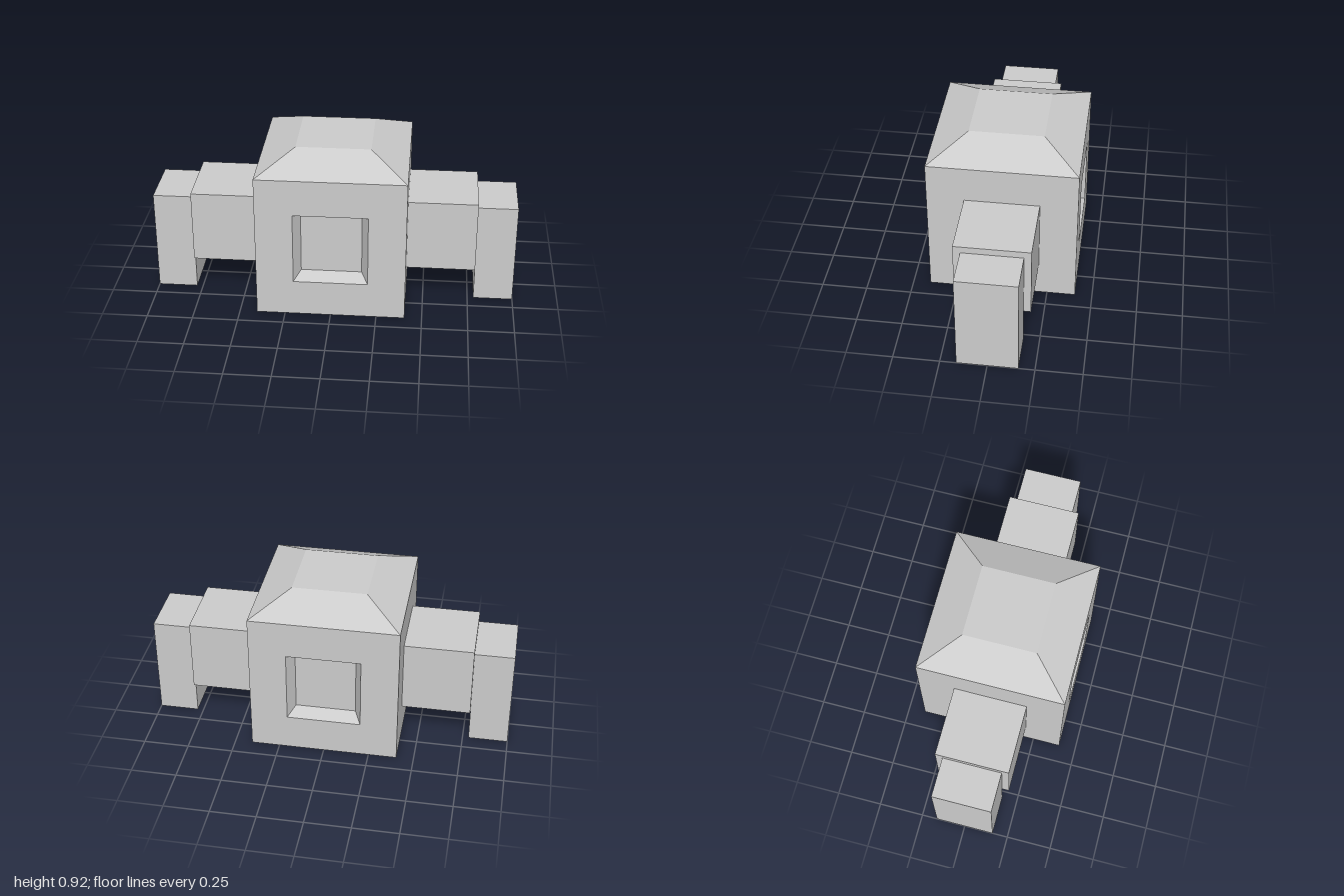
import * as THREE from 'three';

const material = new THREE.MeshStandardMaterial({ color: 0xcccccc, flatShading: true });

function addPart(parent, name, geometry, x = 0, y = 0, z = 0) {
  const mesh = new THREE.Mesh(geometry, material);
  mesh.name = name;
  mesh.position.set(x, y, z);
  parent.add(mesh);
  return mesh;
}

// Capped loft through rectangles [halfWidth, yMin, yMax, z], ordered from back to front
function loftRectangles(rings) {
  const corners = rings.map(([w, y0, y1, z]) => [[-w, y0, z], [w, y0, z], [w, y1, z], [-w, y1, z]]);
  const positions = [];
  const quad = (a, b, c, d) => positions.push(...a, ...b, ...c, ...a, ...c, ...d);
  const first = corners[0];
  const last = corners[corners.length - 1];
  quad(first[3], first[2], first[1], first[0]);
  for (let i = 0; i < corners.length - 1; i++) {
    for (let j = 0; j < 4; j++) {
      const k = (j + 1) % 4;
      quad(corners[i][j], corners[i][k], corners[i + 1][k], corners[i + 1][j]);
    }
  }
  quad(...last);
  const geometry = new THREE.BufferGeometry();
  geometry.setAttribute('position', new THREE.Float32BufferAttribute(positions, 3));
  geometry.computeVertexNormals();
  return geometry;
}

export function createModel() {
  const model = new THREE.Group();
  model.name = 'blockFigure';

  const half = 0.405;       // body half width and depth
  const bodyHeight = 0.812;
  const roofTop = 0.915;
  const armEnd = 0.783;
  const recessDepth = 0.07;

  // Body with a tapered square recess in the front and in the back
  const recess = [0.165, 0.24, 0.57];
  const opening = [0.202, 0.203, 0.608];
  const outline = [half, 0, bodyHeight];
  addPart(model, 'body', loftRectangles([
    [...recess, -half + recessDepth],
    [...opening, -half],
    [...outline, -half],
    [...outline, half],
    [...opening, half],
    [...recess, half - recessDepth],
  ]));

  // Sloped roof block
  const roof = loftRectangles([
    [half, -half, half, 0],
    [0.202, -0.202, 0.202, roofTop - bodyHeight],
  ]).rotateX(-Math.PI / 2);
  addPart(model, 'roof', roof, 0, bodyHeight, 0);

  // Arms and hanging forearms on both sides
  for (const [side, sign] of [['left', 1], ['right', -1]]) {
    const arm = new THREE.Group();
    arm.name = side + 'Arm';
    model.add(arm);
    addPart(arm, side + 'UpperArm', new THREE.BoxGeometry(armEnd - half, 0.405, 0.405),
      sign * (armEnd + half) / 2, 0.4055, 0);
    addPart(arm, side + 'Forearm', new THREE.BoxGeometry(1 - armEnd, 0.57, 0.327),
      sign * (1 + armEnd) / 2, 0.285, 0);
  }
  return model;
}
